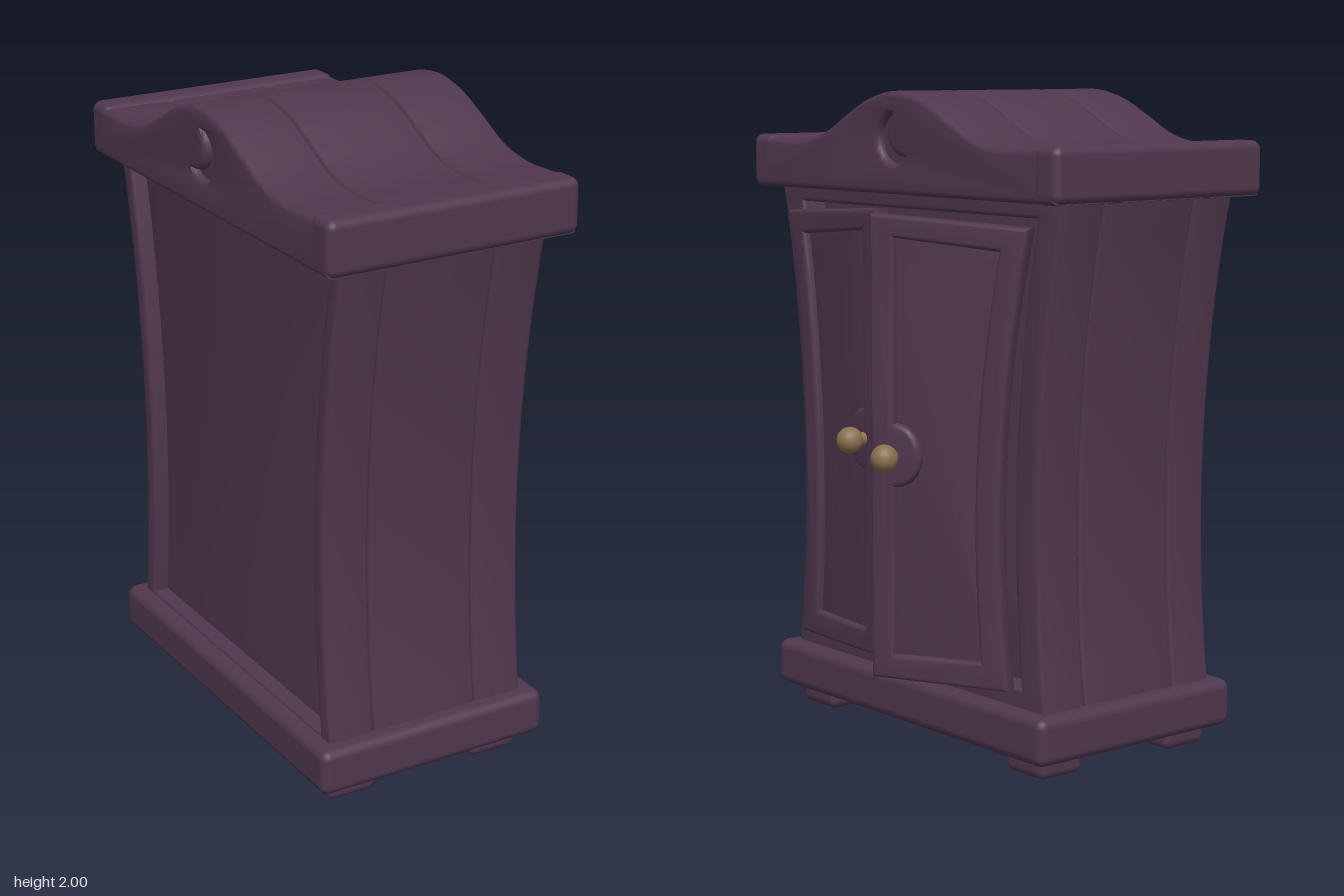
import * as THREE from 'three';
import { toCreasedNormals } from 'three/addons/utils/BufferGeometryUtils.js';
import { RoundedBoxGeometry } from 'three/addons/geometries/RoundedBoxGeometry.js';

const wood = new THREE.MeshStandardMaterial({ color: 0x50374d });
wood.name = 'plumWood';
const brass = new THREE.MeshStandardMaterial({ color: 0x8a7150 });
brass.name = 'dullBrass';

const V = (x, y) => new THREE.Vector2(x, y);

// Half width of the waisted cabinet at height y
const half = (y) => 0.575 + 0.118 * (y - 0.75) ** 2;

// Points up the curved side, moved in by a margin
function sidePoints(margin, y0, y1, n = 14) {
  return Array.from({ length: n + 1 }, (_, i) => {
    const y = y0 + ((y1 - y0) * i) / n;
    return V(half(y) - margin, y);
  });
}

// Symmetric waisted outline
function waisted(margin, y0, y1) {
  const right = sidePoints(margin, y0, y1);
  return [...right, ...right.map((p) => V(-p.x, p.y)).reverse()];
}

function add(parent, name, geometry, material = wood) {
  const mesh = new THREE.Mesh(geometry, material);
  mesh.name = name;
  parent.add(mesh);
  return mesh;
}

// Extruded board between depths z0 and z1 with rounded edges
function board(parent, name, points, z0, z1, bevel, hole) {
  const shape = new THREE.Shape(points);
  if (hole) shape.holes.push(new THREE.Path(hole));
  const geo = new THREE.ExtrudeGeometry(shape, {
    depth: z1 - z0 - 2 * bevel, bevelEnabled: true, bevelSize: bevel,
    bevelThickness: bevel, bevelOffset: -bevel, bevelSegments: 3, curveSegments: 12,
  });
  geo.translate(0, 0, z0 + bevel);
  return add(parent, name, toCreasedNormals(geo, 0.6));
}

function block(parent, name, [x0, x1], [y0, y1], [z0, z1], radius) {
  const geo = new RoundedBoxGeometry(x1 - x0, y1 - y0, z1 - z0, 3, radius);
  const mesh = add(parent, name, geo);
  mesh.position.set((x0 + x1) / 2, (y0 + y1) / 2, (z0 + z1) / 2);
  return mesh;
}

// Crescent outline for the carved gable
function crescent(cx, cy) {
  const p = new THREE.Path();
  const r = 0.075;
  p.absarc(cx, cy, r, 1.66, 5.5, false);
  p.bezierCurveTo(cx - 0.03, cy - 0.06, cx - 0.06, cy + 0.03,
    cx + r * Math.cos(1.66), cy + r * Math.sin(1.66));
  return p.getPoints(14).slice(0, -1);
}

// Door hinged at its local x = 0, reaching toward -x
function makeDoor(name, angle) {
  const door = new THREE.Group();
  door.name = name;
  const hinge = 0.56;
  const shift = (pts) => pts.map((p) => V(p.x - hinge, p.y));
  const outline = [...shift(sidePoints(0.11, 0.265, 1.62)), V(-0.512, 1.65), V(-0.512, 0.265)];
  // Panel opening with a round notch around the knob
  const opening = [...shift(sidePoints(0.19, 0.345, 1.55)), V(-0.435, 1.58)];
  for (let i = 0; i <= 10; i++) {
    const a = Math.PI / 2 - (Math.PI * i) / 10;
    opening.push(V(-0.435 + 0.085 * Math.cos(a), 0.94 + 0.095 * Math.sin(a)));
  }
  opening.push(V(-0.435, 0.34));
  board(door, 'doorFrame', outline, 0, 0.058, 0.014, opening);
  const panel = [...shift(sidePoints(0.16, 0.3, 1.59)), V(-0.48, 1.61), V(-0.48, 0.3)];
  board(door, 'doorPanel', panel, 0.012, 0.034, 0.004);
  // Knob and its stem
  const stem = add(door, 'knobStem', new THREE.CylinderGeometry(0.018, 0.022, 0.05, 16), brass);
  stem.rotation.x = Math.PI / 2;
  stem.position.set(-0.44, 0.94, 0.07);
  const knob = add(door, 'knob', new THREE.SphereGeometry(0.041, 20, 14), brass);
  knob.position.set(-0.44, 0.94, 0.108);
  door.rotation.y = angle;
  return door;
}

export function createModel() {
  const model = new THREE.Group();
  model.name = 'wardrobe';
  const cabinet = new THREE.Group();
  cabinet.name = 'cabinet';
  cabinet.rotation.y = Math.PI / 2; // doors face +x
  model.add(cabinet);

  // Waisted body of three planks, open at the front and recessed at the back
  const body = waisted(0, 0.18, 1.72);
  board(cabinet, 'backBodyPlank', body, -0.45, -0.297, 0.014, waisted(0.06, 0.215, 1.685));
  board(cabinet, 'middleBodyPlank', body, -0.297, 0.06, 0.014);
  board(cabinet, 'frontBodyPlank', body, 0.06, 0.225, 0.014, waisted(0.1, 0.26, 1.645));
  board(cabinet, 'innerPanel', waisted(0.04, 0.2, 1.7), -0.4, 0.14, 0.004);

  // Plinth and feet
  block(cabinet, 'plinth', [-0.66, 0.66], [0.06, 0.205], [-0.5, 0.28], 0.03);
  for (const s of [-1, 1]) {
    for (const z of [-0.365, 0.14]) {
      block(cabinet, 'foot', [s * 0.515 - 0.085, s * 0.515 + 0.085], [0, 0.1], [z - 0.083, z + 0.083], 0.025);
    }
  }

  // Arched roof planks with a carved crescent on both gables
  const rise = [V(0.725, 1.845), V(0.6, 1.845), V(0.48, 1.843), V(0.36, 1.868), V(0.25, 1.922), V(0.13, 1.977), V(0, 2)];
  const arch = new THREE.SplineCurve([...rise, ...rise.slice(0, -1).reverse().map((p) => V(-p.x, p.y))]);
  const roof = [V(-0.725, 1.692), V(0.725, 1.692), ...arch.getPoints(48)];
  const moon = crescent(0, 1.858);
  board(cabinet, 'backRoofPlank', roof, -0.52, -0.293, 0.018, moon);
  board(cabinet, 'middleRoofPlank', roof, -0.293, 0.06, 0.018);
  board(cabinet, 'frontRoofPlank', roof, 0.06, 0.3, 0.018, moon);
  block(cabinet, 'crescentBacking', [-0.12, 0.12], [1.75, 1.955], [-0.495, 0.275], 0.005);
  for (const s of [-1, 1]) {
    block(cabinet, 'roofEndRail', [s * 0.685 - 0.052, s * 0.685 + 0.052], [1.69, 1.856], [-0.521, 0.301], 0.028);
  }

  // One door swung open, the other barely ajar
  const openDoor = makeDoor('openDoor', 0.45);
  openDoor.position.set(0.56, 0, 0.21);
  cabinet.add(openDoor);
  const mirror = new THREE.Group();
  mirror.name = 'ajarDoorSide';
  mirror.scale.x = -1;
  const ajarDoor = makeDoor('ajarDoor', 0.07);
  ajarDoor.position.set(0.56, 0, 0.233);
  mirror.add(ajarDoor);
  cabinet.add(mirror);

  return model;
}
